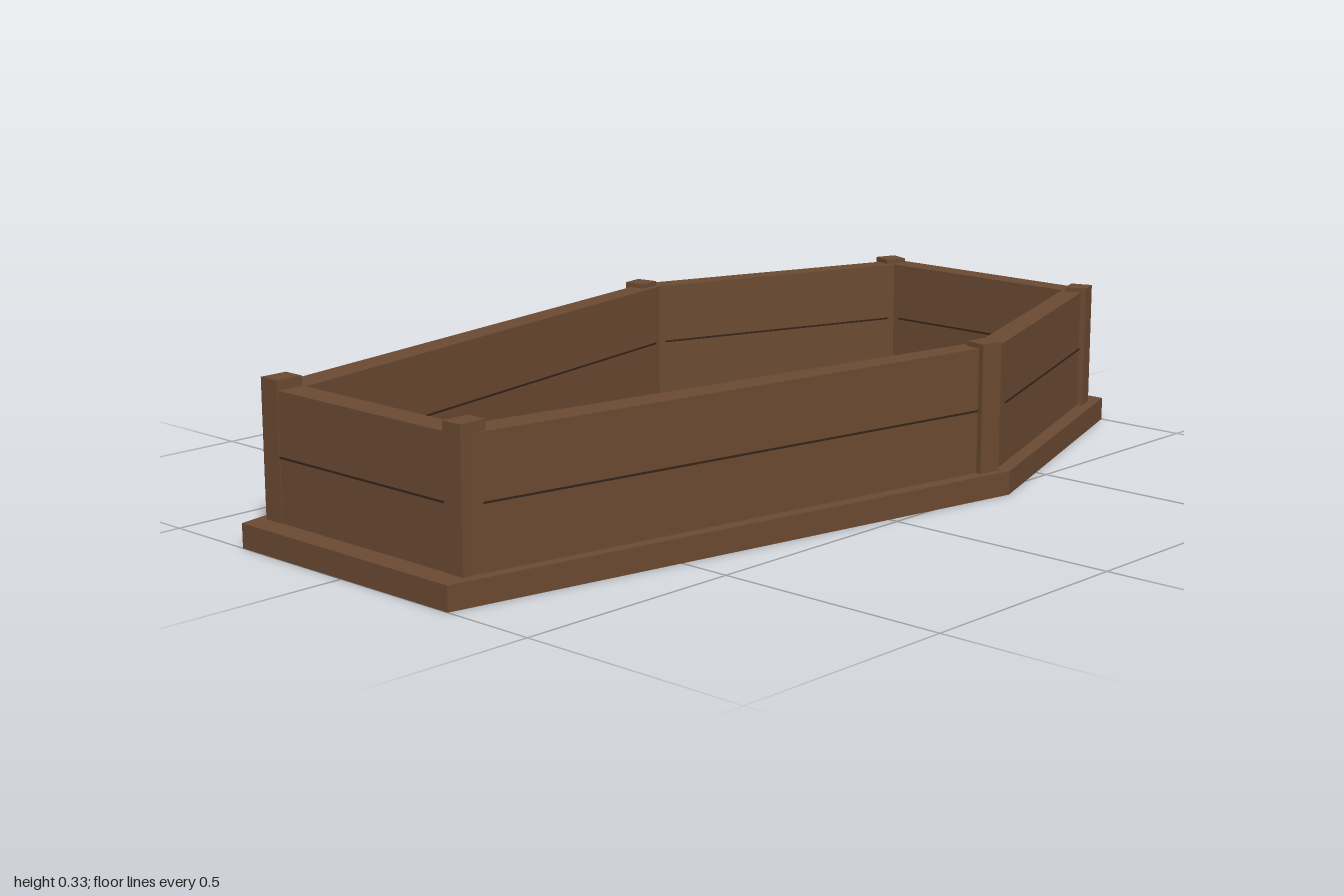
import * as THREE from 'three';

// Half outlines as [x, z], front to back; mirrored to a six-sided ring
const BASE = [[0.295, 1], [0.54, -0.315], [0.295, -1]];
const OUTER = [[0.28, 0.949], [0.508, -0.315], [0.275, -0.953]];
const INNER = [[0.225, 0.89], [0.456, -0.31], [0.245, -0.9]];

const ring = (half) => [...half, ...half.map(([x, z]) => [-x, z]).reverse()];
const points = (half) => ring(half).map(([x, z]) => new THREE.Vector2(x, -z));

// Stands an outline up from y0 to y1, with an optional hole
function slab(outline, y0, y1, hole) {
  const shape = new THREE.Shape(points(outline));
  if (hole) shape.holes.push(new THREE.Path(points(hole)));
  const geo = new THREE.ExtrudeGeometry(shape, { depth: y1 - y0, bevelEnabled: false });
  return geo.rotateX(-Math.PI / 2).translate(0, y0, 0);
}

export function createModel() {
  const group = new THREE.Group();
  const wood = new THREE.MeshStandardMaterial({ name: 'brown wood', color: 0x6b4a32 });
  const dark = new THREE.MeshStandardMaterial({ name: 'dark seam', color: 0x35241a });

  const add = (name, geo, mat = wood) => {
    const mesh = new THREE.Mesh(geo, mat);
    mesh.name = name;
    group.add(mesh);
    return mesh;
  };

  add('basePlank', slab(BASE, 0, 0.05));
  add('walls', slab(OUTER, 0.05, 0.31, INNER));

  // Corner posts: x, z, top height, turn, size
  const posts = [
    ['frontPost', 0.259, 0.921, 0.33, 0, 0.048, 0.06],
    ['middlePost', 0.49, -0.285, 0.32, -0.18, 0.05, 0.05],
    ['backPost', 0.274, -0.922, 0.32, 0.346, 0.048, 0.05],
  ];
  for (const [name, x, z, top, turn, w, d] of posts) {
    for (const side of [1, -1]) {
      const post = add(name, new THREE.BoxGeometry(w, top - 0.05, d));
      post.position.set(side * x, (top + 0.05) / 2, z);
      post.rotation.y = side * turn;
    }
  }

  // Plank seams: thin strips on the outer and inner face of every wall
  for (const [outline, trim] of [[ring(OUTER), 0.045], [ring(INNER), 0.015]]) {
    outline.forEach(([x0, z0], i) => {
      const [x1, z1] = outline[(i + 1) % outline.length];
      const length = Math.hypot(x1 - x0, z1 - z0);
      const seam = add('plankSeam', new THREE.BoxGeometry(length - 2 * trim, 0.004, 0.003), dark);
      seam.position.set((x0 + x1) / 2, 0.18, (z0 + z1) / 2);
      seam.rotation.y = -Math.atan2(z1 - z0, x1 - x0);
    });
  }
  return group;
}
